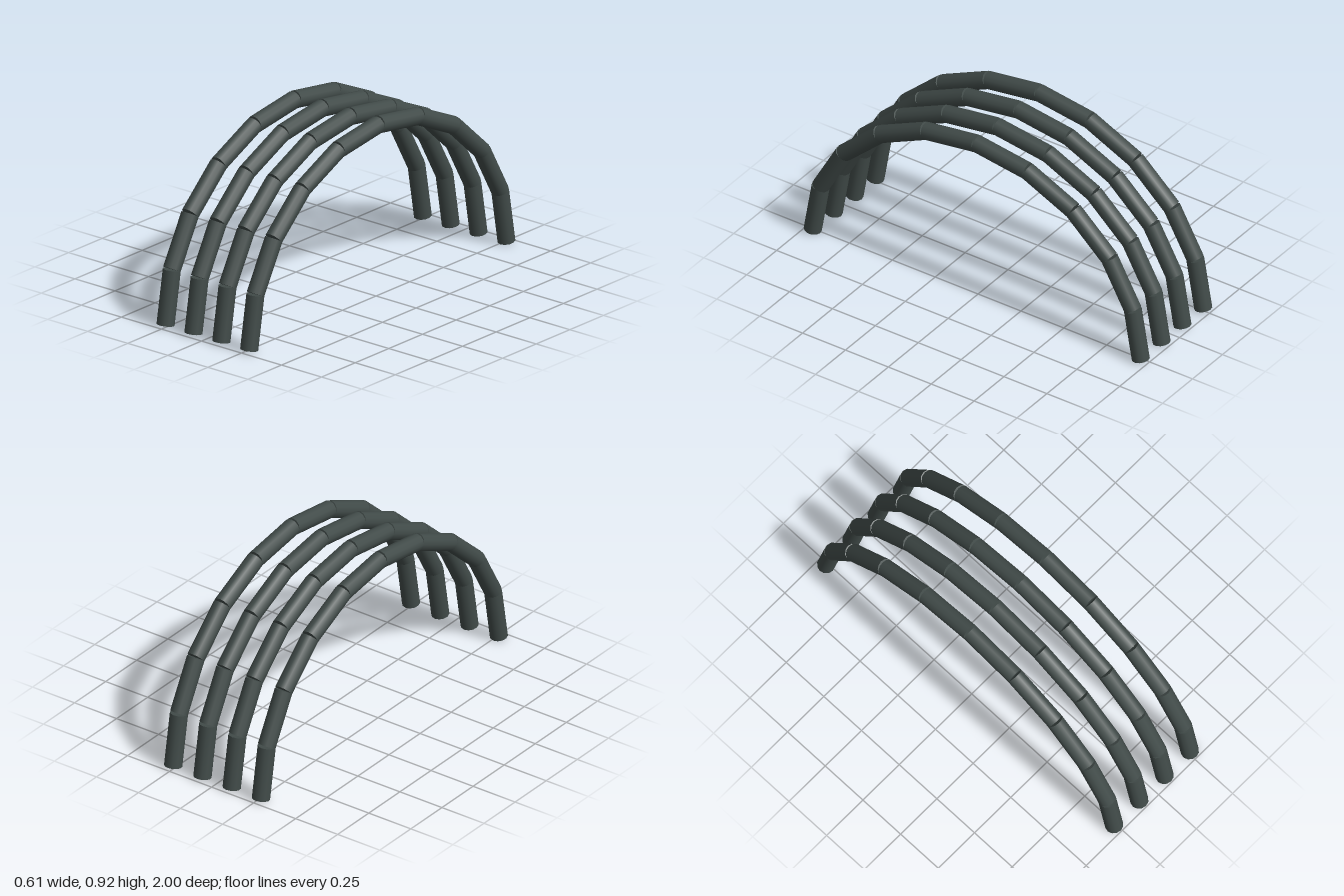
import * as THREE from 'three';

const RADIUS = 0.044, SIDES = 12, SEGMENTS = 10, BASE_Y = 0.0075;
const HALF_SPAN = 0.956, RISE = 0.873, ARCHES = 4, SPACING = 0.174;

// point on the half ellipse that each arch follows
function archPoint(i) {
  const a = (i / SEGMENTS) * Math.PI;
  return new THREE.Vector3(0, BASE_Y + RISE * Math.sin(a), HALF_SPAN * Math.cos(a));
}

// straight closed cylinder between two joints, leaving open wedges on the outside
function tubeSegment(from, to, material) {
  const dir = to.clone().sub(from);
  const geometry = new THREE.CylinderGeometry(RADIUS, RADIUS, dir.length(), SIDES);
  const mesh = new THREE.Mesh(geometry, material);
  mesh.position.copy(from).add(to).multiplyScalar(0.5);
  mesh.rotation.x = Math.atan2(dir.z, dir.y);
  return mesh;
}

export function createModel() {
  const model = new THREE.Group();
  model.name = 'archedBars';
  const darkMetal = new THREE.MeshStandardMaterial({ color: 0x414b49 });
  darkMetal.name = 'darkMetal';

  // four parallel arches side by side
  for (let n = 0; n < ARCHES; n++) {
    const arch = new THREE.Group();
    arch.name = `arch${n + 1}`;
    arch.position.x = (n - (ARCHES - 1) / 2) * SPACING;
    for (let i = 0; i < SEGMENTS; i++) {
      const segment = tubeSegment(archPoint(i), archPoint(i + 1), darkMetal);
      segment.name = `barSegment${i + 1}`;
      arch.add(segment);
    }
    model.add(arch);
  }
  return model;
}
